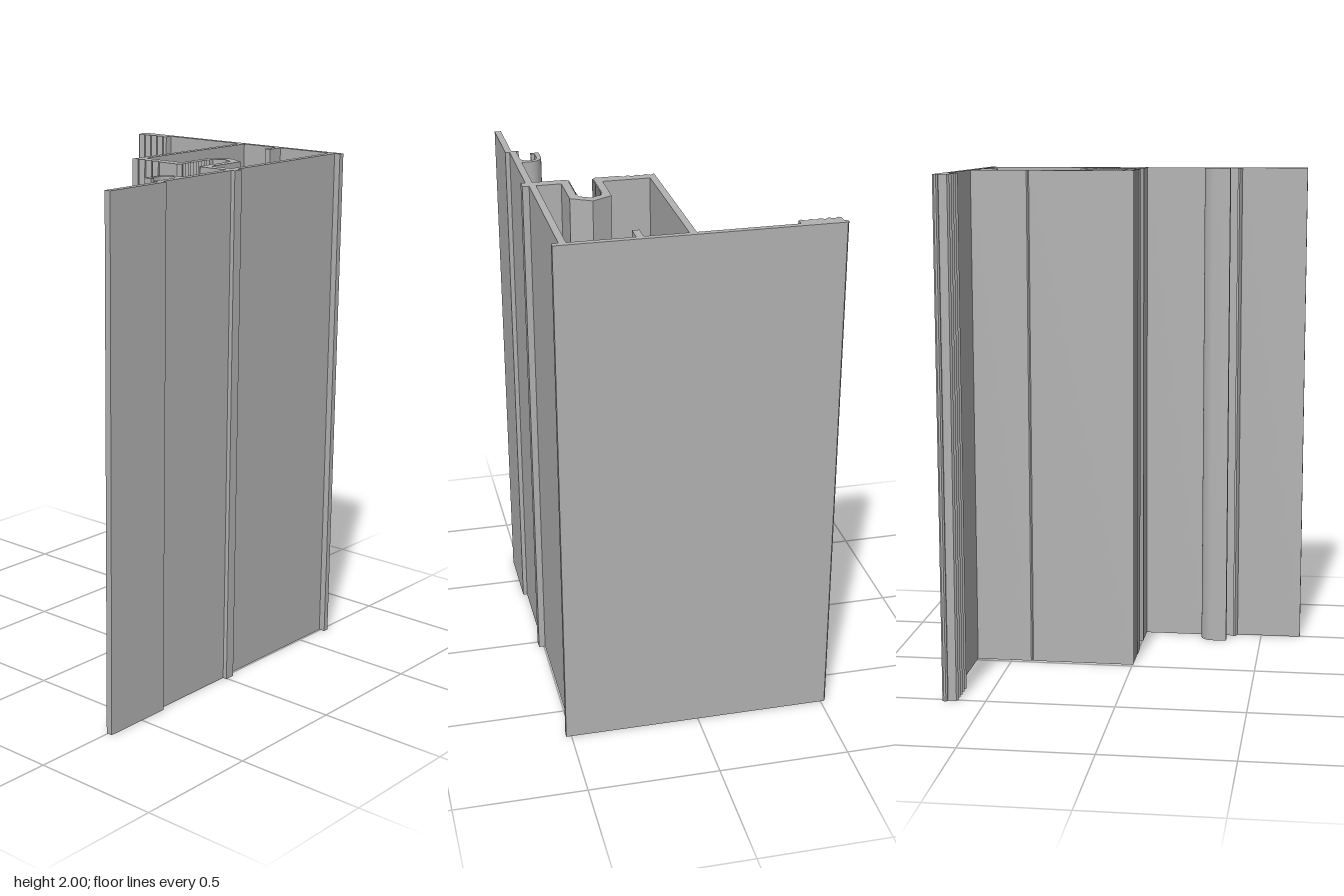
import * as THREE from 'three';
import { toCreasedNormals } from 'three/addons/utils/BufferGeometryUtils.js';

const HEIGHT = 2;

// Zigzag from a to b with n notches cut by the offset (dx, dz)
function teeth(a, b, n, dx, dz) {
  const pts = [];
  for (let i = 0; i <= 2 * n; i++) {
    const t = i / (2 * n), cut = i % 2;
    pts.push([a[0] + (b[0] - a[0]) * t + dx * cut, a[1] + (b[1] - a[1]) * t + dz * cut]);
  }
  return pts;
}

// Arc around (cx, cz), angles in degrees
function arc(cx, cz, r, from, to, n) {
  const pts = [];
  for (let i = 0; i <= n; i++) {
    const a = THREE.MathUtils.degToRad(from + (to - from) * i / n);
    pts.push([cx + r * Math.cos(a), cz + r * Math.sin(a)]);
  }
  return pts;
}

const toVectors = (pts) => pts.map(([x, z]) => new THREE.Vector2(x, z));

export function createModel() {
  const aluminium = new THREE.MeshStandardMaterial({ color: 0xb2b2b2 });
  aluminium.name = 'aluminium grey';

  // Outer contour as [x, z]
  const outline = [
    // back plate and right wall
    [-0.52, -0.659], [-0.514, -0.666], [0.52, -0.666], [0.52, -0.643], [0.495, -0.643],
    [0.495, -0.037], [0.52, -0.037], [0.52, 0.004], [0.503, 0.004],
    // front web and offset front plate
    [0.503, 0.38], [0.52, 0.38], [0.52, 0.666], [0.495, 0.666],
    [0.495, 0.398], [0.475, 0.393], [0.468, 0.388], [0.468, 0.38], [0.477, 0.385],
    // gasket hook
    ...arc(0.445, 0.296, 0.032, 0, -180, 12),
    [0.413, 0.339], [0.427, 0.339], [0.427, 0.355], [0.395, 0.355],
    ...arc(0.445, 0.296, 0.05, 180, 270, 8),
    [0.477, 0.246], [0.477, 0.004],
    // screw channel with toothed inner walls
    [0.354, 0.004], [0.341, -0.01],
    ...teeth([0.341, -0.015], [0.341, -0.17], 10, 0.007, 0),
    [0.341, -0.189], [0.3, -0.213], [0.256, -0.189],
    ...teeth([0.256, -0.17], [0.256, -0.015], 10, -0.007, 0),
    [0.256, -0.01], [0.243, 0.004],
    // grooved floor and left wall with a scribe line
    ...teeth([0.155, 0.004], [0.018, 0.004], 4, 0, -0.013),
    [0.018, -0.41], [0.022, -0.415], [0.018, -0.42], [0.018, -0.643],
    // serrated pad under the back flange
    [-0.352, -0.643], [-0.352, -0.613],
    ...teeth([-0.362, -0.606], [-0.497, -0.606], 4, 0, -0.013),
    [-0.507, -0.613], [-0.507, -0.645], [-0.514, -0.645], [-0.52, -0.651],
  ];

  // Hollow chamber with the short rib and the outside of the screw channel
  const chamber = [
    [0.044, -0.643], [0.203, -0.643], [0.203, -0.577], [0.229, -0.577], [0.229, -0.643],
    [0.469, -0.643], [0.469, -0.037], [0.376, -0.037], [0.376, -0.207], [0.3, -0.25],
    [0.223, -0.207], [0.223, -0.044], [0.044, -0.044],
  ];

  const section = new THREE.Shape(toVectors(outline));
  section.holes.push(new THREE.Path(toVectors(chamber)));

  // Extrude, then stand upright with the section in the ground plane
  const extruded = new THREE.ExtrudeGeometry(section, { depth: HEIGHT, bevelEnabled: false });
  extruded.rotateX(Math.PI / 2).translate(0, HEIGHT, 0);
  const profile = new THREE.Mesh(toCreasedNormals(extruded, Math.PI / 7), aluminium);
  profile.name = 'extrudedFrameProfile';

  const group = new THREE.Group();
  group.name = 'frameProfile';
  group.add(profile);
  return group;
}
